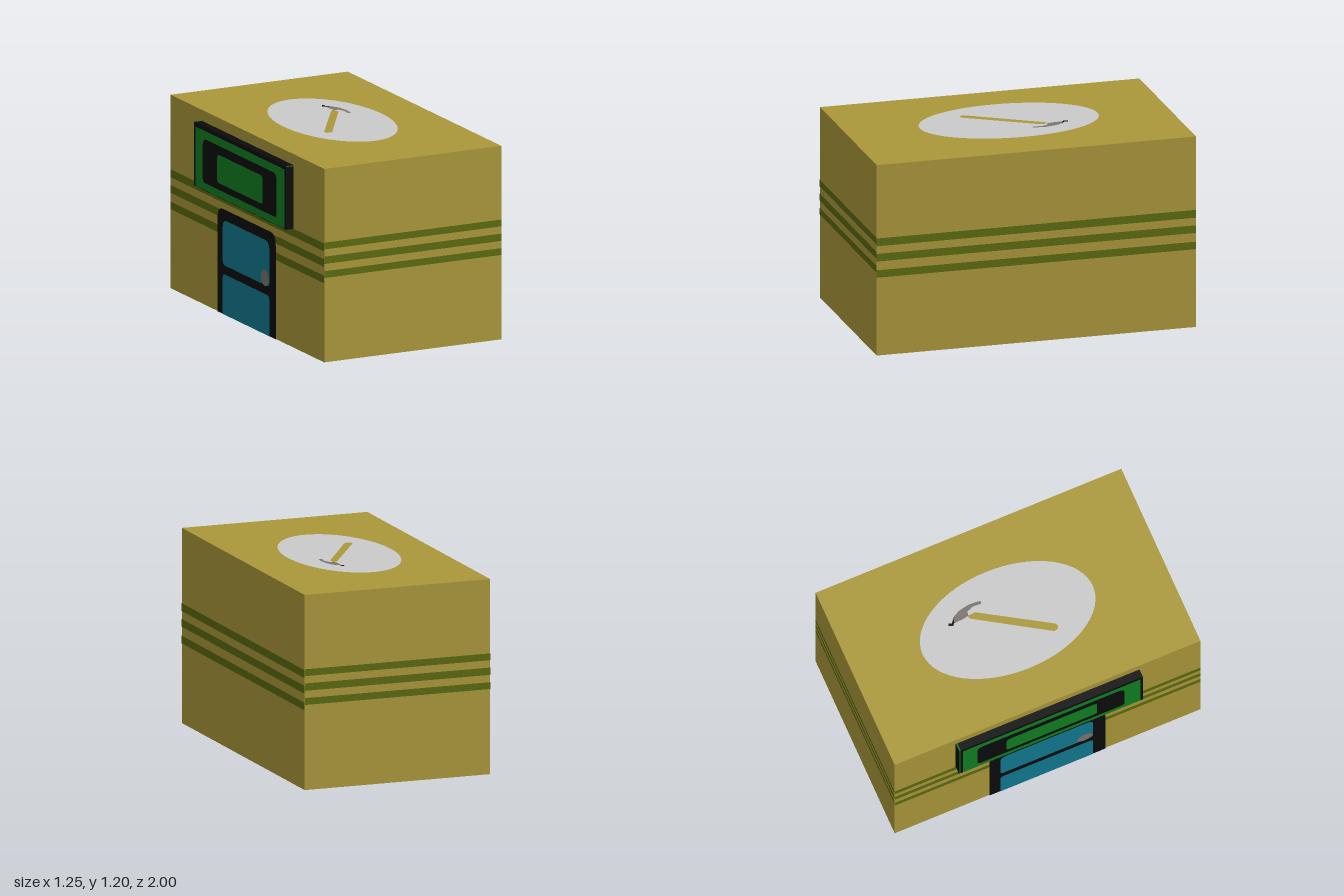
import * as THREE from 'three';

const mat = (name, color) => {
  const m = new THREE.MeshStandardMaterial({ color });
  m.name = name;
  return m;
};

// Rectangle with separately rounded top and bottom corners
function panelShape(u0, u1, v0, v1, top = 0, bottom = 0) {
  const s = new THREE.Shape();
  s.moveTo(u0 + bottom, v0);
  s.lineTo(u1 - bottom, v0);
  s.quadraticCurveTo(u1, v0, u1, v0 + bottom);
  s.lineTo(u1, v1 - top);
  s.quadraticCurveTo(u1, v1, u1 - top, v1);
  s.lineTo(u0 + top, v1);
  s.quadraticCurveTo(u0, v1, u0, v1 - top);
  s.lineTo(u0, v0 + bottom);
  s.quadraticCurveTo(u0, v0, u0 + bottom, v0);
  return s;
}

const ellipse = (u, v, ru, rv) => new THREE.Shape().absellipse(u, v, ru, rv, 0, Math.PI * 2);

export function createModel() {
  const model = new THREE.Group();
  model.name = 'toolShop';

  const ochre = mat('ochre wall', 0xab983b);
  const olive = mat('olive stripe', 0x5c6b0e);
  const black = mat('black trim', 0x0c0c0c);
  const green = mat('sign green', 0x117f22);
  const blue = mat('door blue', 0x117a90);
  const grey = mat('metal grey', 0x7b766f);
  const pale = mat('pale emblem', 0xcacaca);

  const X0 = -0.573, X1 = 0.623, H = 1.198, Z = 0.998;
  const SIGN = -0.624;

  function add(parent, name, geometry, material) {
    const mesh = new THREE.Mesh(geometry, material);
    mesh.name = name;
    parent.add(mesh);
    return mesh;
  }
  function block(parent, name, x0, x1, y0, y1, z0, z1, material) {
    const mesh = add(parent, name, new THREE.BoxGeometry(x1 - x0, y1 - y0, z1 - z0), material);
    mesh.position.set((x0 + x1) / 2, (y0 + y1) / 2, (z0 + z1) / 2);
  }
  // Flat detail on the wall facing -x; the shape runs along z and y
  function onSide(parent, name, shape, x, material) {
    const mesh = add(parent, name, new THREE.ShapeGeometry(shape, 24), material);
    mesh.rotation.y = -Math.PI / 2;
    mesh.position.x = x;
  }
  // Flat detail on the roof; the shape runs along x and -z
  function onRoof(parent, name, shape, lift, material) {
    const mesh = add(parent, name, new THREE.ShapeGeometry(shape, 32), material);
    mesh.rotation.x = -Math.PI / 2;
    mesh.position.y = H + lift;
  }

  // Building
  block(model, 'body', X0, X1, 0, H, -Z, Z, ochre);

  // Three stripes on each wall: position, turn, width and heights
  const sideRows = [[0.49, 0.537], [0.592, 0.64], [0.688, 0.737]];
  const frontRows = [[0.523, 0.565], [0.61, 0.655], [0.7, 0.742]];
  const cx = (X0 + X1) / 2, w = X1 - X0;
  const walls = [
    ['front', cx, Z + 0.002, 0, w, frontRows],
    ['back', cx, -Z - 0.002, Math.PI, w, frontRows],
    ['left', X1 + 0.002, 0, Math.PI / 2, 2 * Z, sideRows],
    ['right', X0 - 0.002, 0, -Math.PI / 2, 2 * Z, sideRows],
  ];
  for (const [side, x, z, turn, width, rows] of walls) {
    rows.forEach(([y0, y1], i) => {
      const stripe = add(model, `${side}Stripe${i + 1}`, new THREE.PlaneGeometry(width, y1 - y0), olive);
      stripe.position.set(x, (y0 + y1) / 2, z);
      stripe.rotation.y = turn;
    });
  }

  // Door
  const door = new THREE.Group();
  door.name = 'door';
  model.add(door);
  onSide(door, 'doorFrame', panelShape(-0.38, 0.375, 0, 0.65, 0.07), X0 - 0.004, black);
  onSide(door, 'upperDoorPanel', panelShape(-0.31, 0.295, 0.305, 0.585, 0.05, 0.03), X0 - 0.006, blue);
  onSide(door, 'lowerDoorPanel', panelShape(-0.31, 0.295, 0, 0.25, 0.03), X0 - 0.006, blue);
  onSide(door, 'doorKnob', ellipse(0.24, 0.35, 0.05, 0.05), X0 - 0.008, grey);

  // Sign board
  const sign = new THREE.Group();
  sign.name = 'sign';
  model.add(sign);
  block(sign, 'signBoard', SIGN, X0, 0.735, 1.13, -0.59, 0.6, black);
  block(sign, 'signEndTrim', SIGN, X0, 0.735, 1.13, -0.6, -0.596, black);
  block(sign, 'signEndCore', SIGN + 0.002, X0, 0.737, 1.132, -0.597, -0.589, green);
  block(sign, 'signTopTrim', SIGN + 0.002, X0, 1.124, 1.129, 0.599, 0.601, green);
  onSide(sign, 'signFace', panelShape(-0.575, 0.583, 0.738, 1.105), SIGN - 0.001, green);
  onSide(sign, 'signBand', panelShape(-0.48, 0.48, 0.783, 1.055, 0.05, 0.03), SIGN - 0.002, black);
  onSide(sign, 'signCentre', panelShape(-0.29, 0.3, 0.825, 1.0, 0.03, 0.02), SIGN - 0.003, green);

  // Roof emblem with a hammer
  const emblem = new THREE.Group();
  emblem.name = 'roofEmblem';
  model.add(emblem);
  onRoof(emblem, 'emblemDisc', ellipse(0.007, 0.01, 0.333, 0.555), 0.001, pale);

  const outline = (pts) => new THREE.Shape(pts.map(([x, z]) => new THREE.Vector2(x, -z)));
  onRoof(emblem, 'hammerHandle', outline([
    [-0.17, 0.22], [-0.162, 0.245], [-0.145, 0.252], [-0.128, 0.245],
    [0.13, -0.17], [0.125, -0.22], [0.105, -0.215],
  ]), 0.0015, ochre);
  onRoof(emblem, 'hammerHead', outline([
    [0.115, -0.31], [0.15, -0.305], [0.176, -0.255], [0.19, -0.185], [0.184, -0.11],
    [0.165, -0.115], [0.168, -0.17], [0.152, -0.21], [0.125, -0.215], [0.117, -0.26],
  ]), 0.002, grey);
  onRoof(emblem, 'hammerTip', outline([
    [0.1, -0.325], [0.112, -0.35], [0.125, -0.345], [0.12, -0.325], [0.145, -0.305], [0.118, -0.31],
  ]), 0.002, black);

  return model;
}
